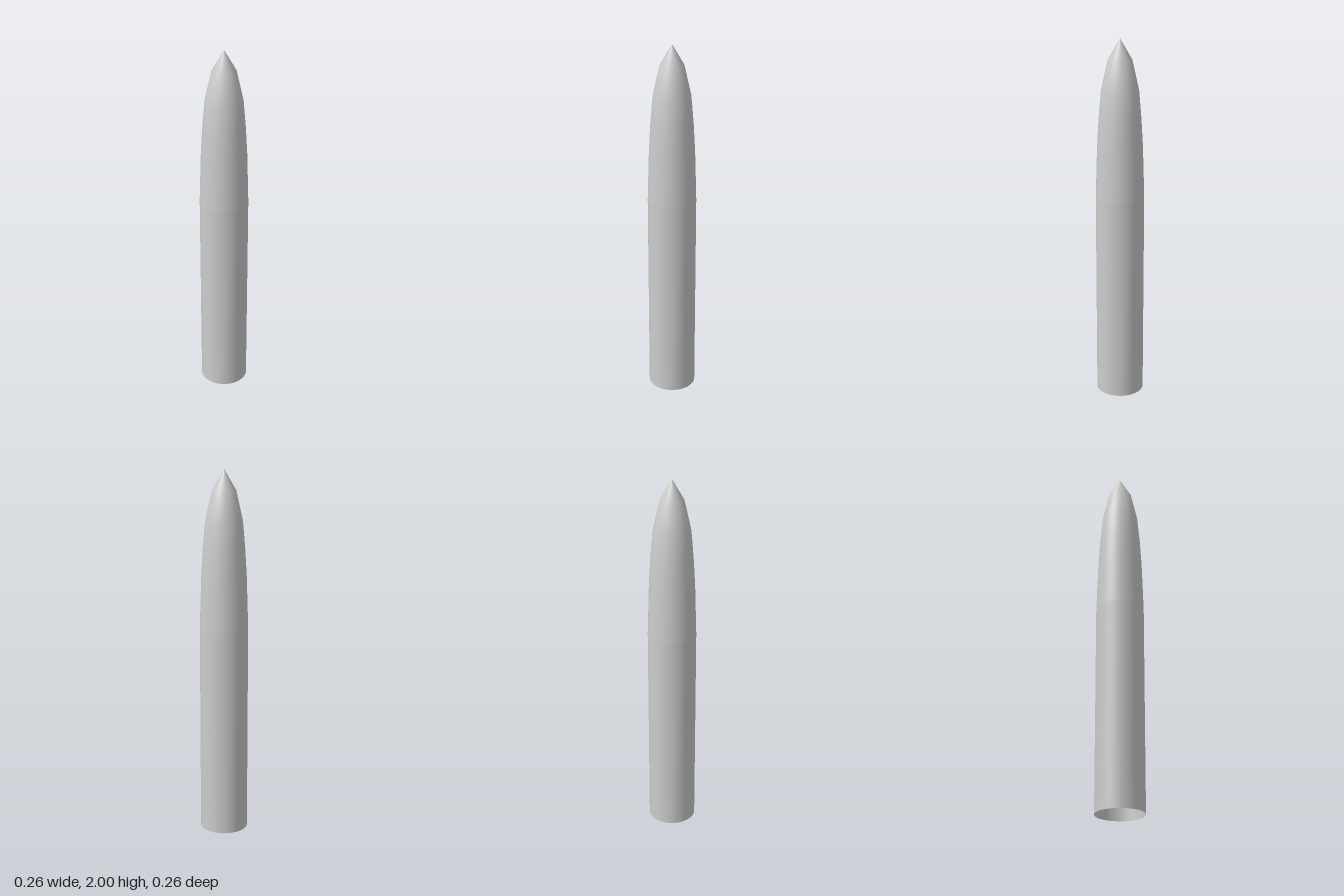
import * as THREE from 'three';

// Surface of revolution, smooth around and along its profile
function lathe(name, profile, material) {
  const points = profile.map(([r, y]) => new THREE.Vector2(r, y));
  const mesh = new THREE.Mesh(new THREE.LatheGeometry(points, 64), material);
  mesh.name = name;
  return mesh;
}

export function createModel() {
  const group = new THREE.Group();
  group.name = 'pointedShell';
  const material = new THREE.MeshStandardMaterial({ color: 0xcccccc, side: THREE.DoubleSide });

  // Straight tube, open at the bottom
  group.add(lathe('body', [[0.131, 0], [0.131, 1.15]], material));

  // Tapering nose ending in a blunt cone
  group.add(lathe('nose', [
    [0.131, 1.15], [0.122, 1.43], [0.113, 1.58], [0.1, 1.73], [0.064, 1.89], [0, 2],
  ], material));

  return group;
}
